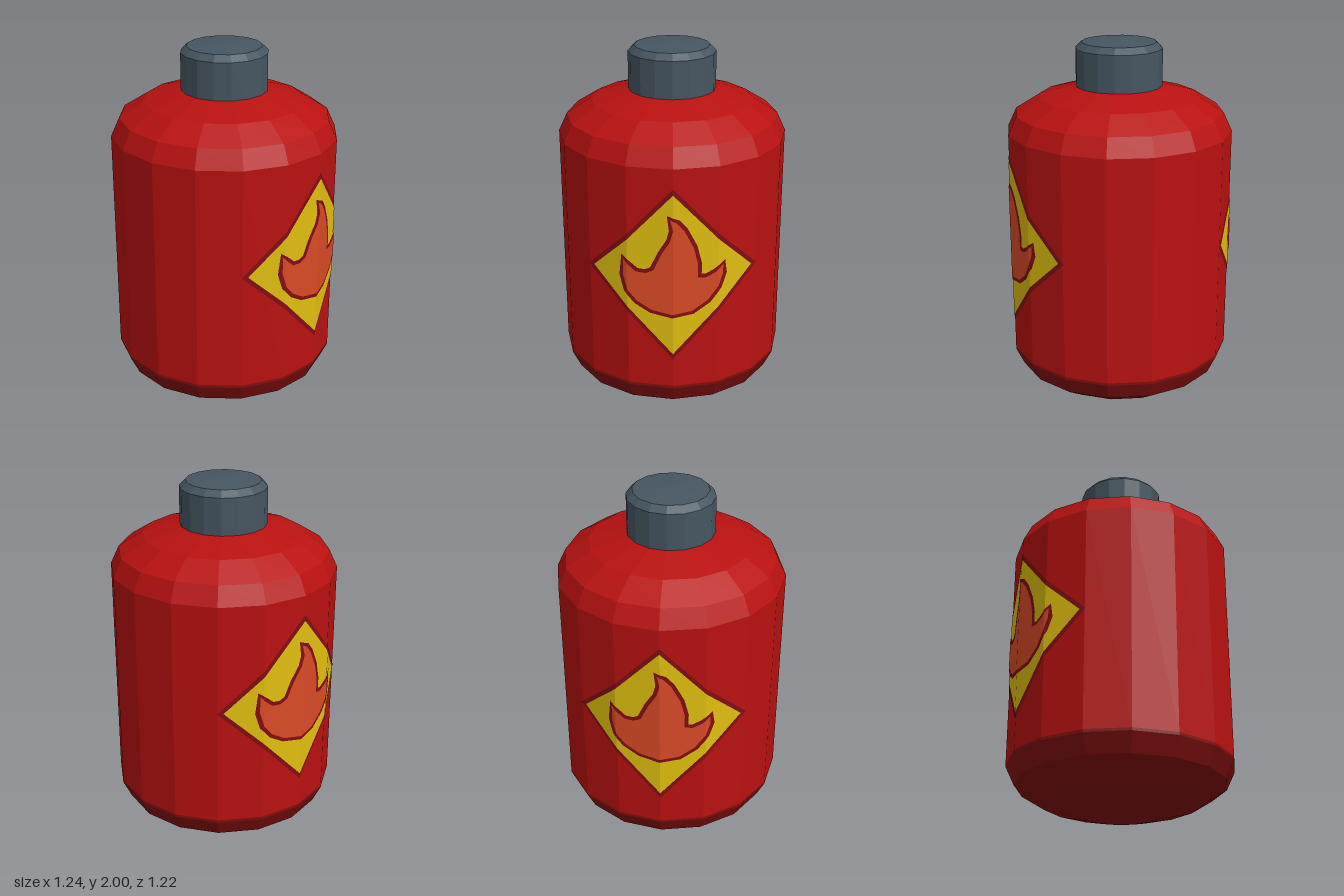
import * as THREE from 'three';

const SIDES = 16, R = 0.61, STEP = (Math.PI * 2) / SIDES;
const LOW = 0.265, HIGH = 1.515, DOME = 0.257, BAND = 0.28;

const mat = (name, color) => {
  const m = new THREE.MeshStandardMaterial({ color });
  m.name = name;
  return m;
};

function flat(geometry) {
  const g = geometry.index ? geometry.toNonIndexed() : geometry;
  g.computeVertexNormals();
  return g;
}

function mesh(name, geometry, material) {
  const m = new THREE.Mesh(geometry, material);
  m.name = name;
  return m;
}

// Faceted solid of revolution, profile listed from bottom to top
const lathe = (points) =>
  flat(new THREE.LatheGeometry(points.map(([x, y]) => new THREE.Vector2(x, y)), SIDES));

// Cut a convex polygon, keeping the side where sign * (u - limit) >= 0
function cut(poly, limit, sign) {
  const out = [];
  poly.forEach((a, i) => {
    const b = poly[(i + 1) % poly.length];
    const da = sign * (a[0] - limit), db = sign * (b[0] - limit);
    if (da >= 0) out.push(a);
    if (da * db < 0) {
      const t = da / (da - db);
      out.push([limit, a[1] + (b[1] - a[1]) * t]);
    }
  });
  return out;
}

// Wrap a flat outline (u to the viewer's right, v up) onto the +x facets of the tank
function wrap(outline, lift) {
  const pts = outline.map(([u, v]) => new THREE.Vector2(u, v));
  if (THREE.ShapeUtils.isClockWise(pts)) pts.reverse();
  const r = R + lift, pos = [];
  for (const tri of THREE.ShapeUtils.triangulateShape(pts, [])) {
    const corners = tri.map((i) => [pts[i].x, pts[i].y]);
    for (let k = -3; k < 3; k++) {
      const a0 = k * STEP, a1 = a0 + STEP;
      const u0 = r * Math.sin(a0), u1 = r * Math.sin(a1);
      const x0 = r * Math.cos(a0), x1 = r * Math.cos(a1);
      const piece = cut(cut(corners, u0, 1), u1, -1);
      for (let i = 1; i + 1 < piece.length; i++) {
        for (const [u, v] of [piece[0], piece[i], piece[i + 1]]) {
          pos.push(x0 + ((x1 - x0) * (u - u0)) / (u1 - u0), v, -u);
        }
      }
    }
  }
  const g = new THREE.BufferGeometry();
  g.setAttribute('position', new THREE.Float32BufferAttribute(pos, 3));
  return flat(g);
}

// Grow a counter-clockwise outline outwards by d
function grow(points, d) {
  const n = points.length;
  return points.map(([u, v], i) => {
    const p = points[(i + n - 1) % n], q = points[(i + 1) % n];
    const a = new THREE.Vector2(v - p[1], p[0] - u).normalize();
    const b = new THREE.Vector2(q[1] - v, u - q[0]).normalize();
    const s = a.clone().add(b);
    s.multiplyScalar(d / Math.max(0.6, 1 + a.dot(b)));
    return [u + s.x, v + s.y];
  });
}

const diamond = (w, h) => [[w, 0.93], [0, 0.93 + h], [-w, 0.93], [0, 0.93 - h]];

const FLAME = [
  [-0.015, 1.25], [0, 1.19], [-0.015, 1.13], [-0.06, 1.055], [-0.1, 0.965],
  [-0.14, 0.945], [-0.19, 0.95], [-0.23, 0.985], [-0.255, 1.015], [-0.255, 0.92],
  [-0.235, 0.84], [-0.185, 0.78], [-0.11, 0.735], [-0.005, 0.715], [0.1, 0.73],
  [0.18, 0.785], [0.235, 0.86], [0.258, 0.93], [0.258, 0.98], [0.22, 0.942],
  [0.17, 0.917], [0.127, 0.921], [0.127, 1.0], [0.105, 1.09], [0.058, 1.185], [0.02, 1.23],
];

export function createModel() {
  const red = mat('tank red', 0xb91111);
  const darkRed = mat('base dark red', 0x820e0e);
  const edge = mat('outline crimson', 0x830d13);
  const yellow = mat('sign yellow', 0xe0be0e);
  const orange = mat('flame orange', 0xd94a26);
  const steel = mat('cap steel', 0x465661);
  const group = new THREE.Group();
  group.name = 'gasTank';

  // Tank body with flattened domes at both ends
  const ring = (k, y, sign) => [R * Math.cos(k * STEP), y + sign * DOME * Math.sin(k * STEP)];
  const bottom = [4, 3, 2, 1, 0].map((k) => ring(k, LOW, -1));
  const top = [0, 1, 2, 3, 4].map((k) => ring(k, HIGH, 1));
  bottom[0] = [0, 0];
  top[4][0] = 0;
  group.add(mesh('tankBase', lathe([...bottom, [R, BAND]]), darkRed));
  group.add(mesh('tankBody', lathe([[R, BAND], ...top]), red));

  // Bevelled cap
  group.add(mesh('cap', lathe([[0, 1.74], [0.233, 1.74], [0.233, 1.952], [0.2, 1.985], [0, 2]]), steel));

  // Warning sign on both sides
  const layers = [
    ['signBorder', diamond(0.437, 0.482), 0.002, edge],
    ['signPlate', diamond(0.41, 0.45), 0.004, yellow],
    ['flameBorder', grow(FLAME, 0.02), 0.006, edge],
    ['flame', FLAME, 0.008, orange],
  ].map(([name, outline, lift, material]) => [name, wrap(outline, lift), material]);
  ['leftSign', 'rightSign'].forEach((name, i) => {
    const sign = new THREE.Group();
    sign.name = name;
    sign.rotation.y = i * Math.PI;
    layers.forEach((l) => sign.add(mesh(...l)));
    group.add(sign);
  });

  return group;
}
